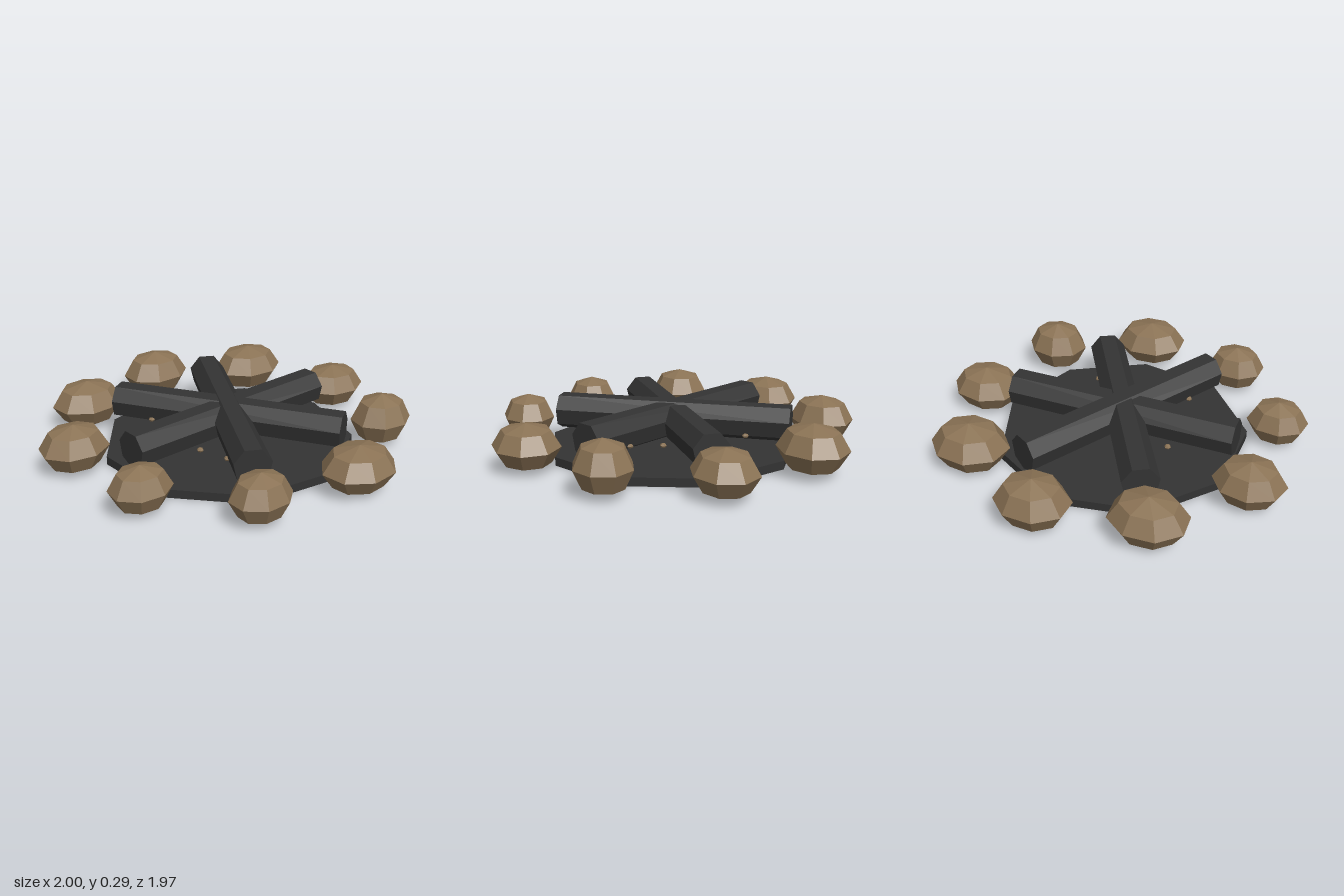
import * as THREE from 'three';

export function createModel() {
  const group = new THREE.Group();
  const charcoal = new THREE.MeshStandardMaterial({ color: 0x333333 });
  const stone = new THREE.MeshStandardMaterial({ color: 0x8b7355 });
  charcoal.name = 'charcoal';
  stone.name = 'stone brown';
  const CX = -0.02; // centre of the fire pit

  const add = (name, geometry, material, x, y, z) => {
    const flat = geometry.toNonIndexed();
    flat.computeVertexNormals();
    const mesh = new THREE.Mesh(flat, material);
    mesh.name = name;
    mesh.position.set(x, y, z);
    group.add(mesh);
    return mesh;
  };

  // Nine-sided ash bed
  add('ashBed', new THREE.CylinderGeometry(0.68, 0.68, 0.046, 9, 1, false, Math.PI / 2),
    charcoal, CX, 0.023, 0);

  // Three crossed seven-sided logs, flat side up
  const logGeometry = new THREE.CylinderGeometry(0.1, 0.1, 1.28, 7, 1, false, -Math.PI / 2);
  logGeometry.rotateZ(Math.PI / 2);
  [0.17, 0.181, 0.176].forEach((y, i) => {
    add('log', logGeometry, charcoal, CX, y, -0.005).rotation.y = i * Math.PI / 3;
  });

  // Ring of squashed stones: x, z, half width, half depth, half height
  const stones = [
    [0.806, -0.005, 0.193, 0.165, 0.12],
    [0.615, -0.54, 0.21, 0.178, 0.13],
    [0.115, -0.825, 0.196, 0.165, 0.132],
    [-0.443, -0.725, 0.203, 0.17, 0.127],
    [-0.813, -0.29, 0.187, 0.16, 0.125],
    [-0.81, 0.275, 0.163, 0.14, 0.12],
    [-0.447, 0.718, 0.163, 0.14, 0.125],
    [0.12, 0.817, 0.205, 0.175, 0.12],
    [0.617, 0.533, 0.17, 0.15, 0.14],
  ];
  stones.forEach(([x, z, rx, rz, ry], i) => {
    const g = new THREE.SphereGeometry(1, 8, 4);
    g.rotateY(0.15 + (i % 4) * 0.1);
    g.scale(rx * 1.02, ry, rz * 1.02);
    add('ringStone', g, stone, x, 0.008 + ry, z);
  });

  // Tiny chips between and against the logs
  for (const sx of [-1, 1]) {
    for (const sz of [-1, 1]) {
      for (const [x, z] of [[0.315, 0.15], [0.275, 0.315]]) {
        add('chip', new THREE.SphereGeometry(0.018, 6, 4), stone,
          CX + sx * x, 0.12, sz * z - 0.005).scale.y = 0.7;
      }
    }
  }
  return group;
}
